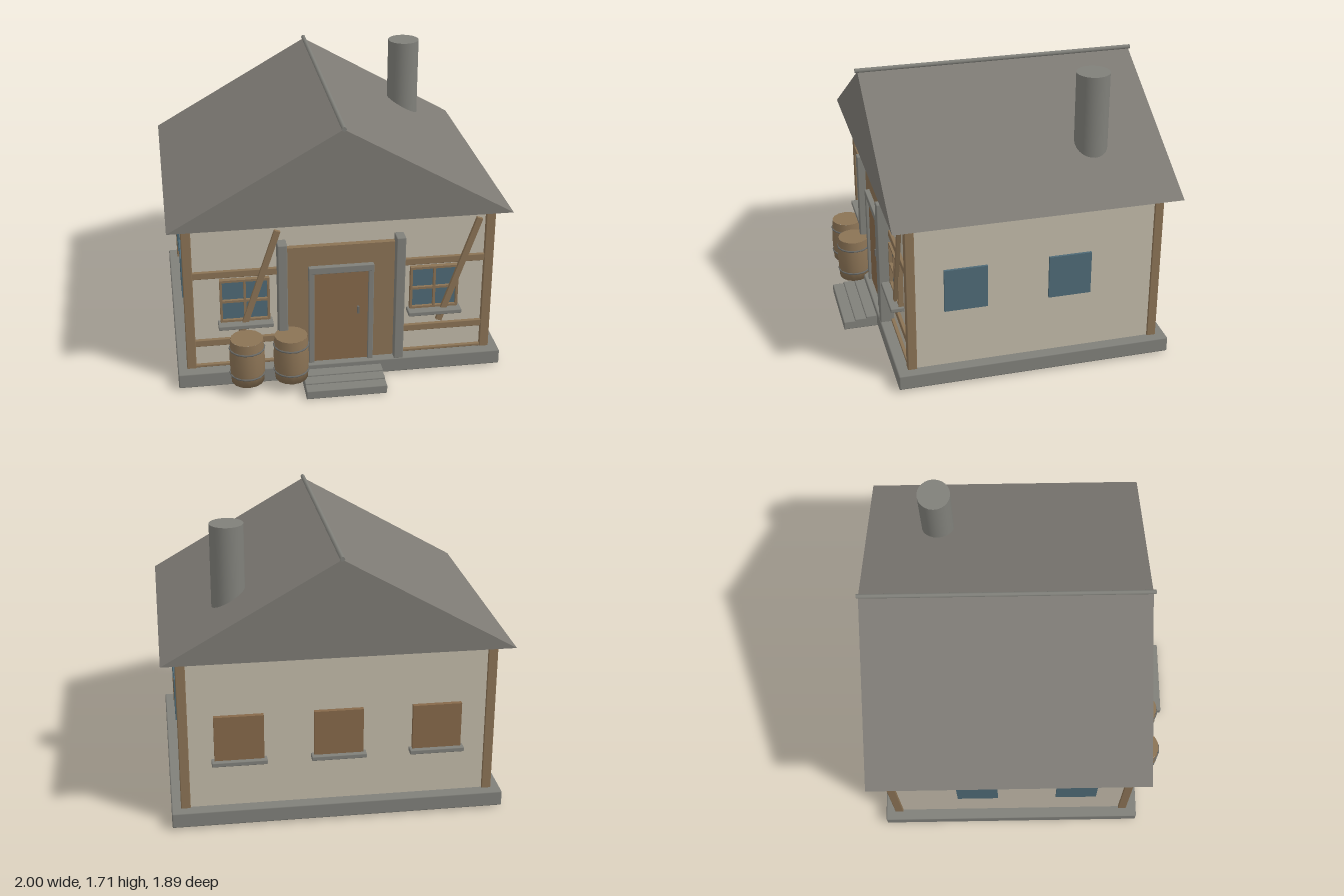
import * as THREE from 'three';
import { RoundedBoxGeometry } from 'three/addons/geometries/RoundedBoxGeometry.js';

const mat = (name, color) => {
  const m = new THREE.MeshStandardMaterial({ color });
  m.name = name;
  return m;
};

export function createModel() {
  const stone = mat('stone', 0x80807a);
  const roofGrey = mat('roof grey', 0x7d7a74);
  const plaster = mat('plaster', 0xc2baa9);
  const wood = mat('wood', 0x8b7355);
  const doorWood = mat('door wood', 0x86694a);
  const glass = mat('glass', 0x4f6a76);
  const iron = mat('iron', 0x6a6a66);

  const house = new THREE.Group();
  house.name = 'house';

  const add = (name, geometry, material, parent = house) => {
    const mesh = new THREE.Mesh(geometry, material);
    mesh.name = name;
    parent.add(mesh);
    return mesh;
  };
  // Box given by its limits, with an optional small bevel
  const box = (name, material, [x0, x1], [y0, y1], [z0, z1], bevel = 0, parent = house) => {
    const size = [x1 - x0, y1 - y0, z1 - z0];
    const g = bevel ? new RoundedBoxGeometry(...size, 1, bevel) : new THREE.BoxGeometry(...size);
    const mesh = add(name, g, material, parent);
    mesh.position.set((x0 + x1) / 2, (y0 + y1) / 2, (z0 + z1) / 2);
    return mesh;
  };
  const group = (name) => {
    const g = new THREE.Group();
    g.name = name;
    house.add(g);
    return g;
  };

  // Foundation, steps and walls
  box('foundation', stone, [-0.975, 0.975], [0.012, 0.105], [-0.907, 0.738], 0.008);
  for (let i = 0; i < 3; i++) {
    box('step', stone, [-0.24, 0.24], [0.008 * i, 0.055 + 0.01 * i], [0.72, 0.945 - 0.07 * i], 0.006);
  }
  box('walls', plaster, [-0.908, 0.908], [0.1, 1.05], [-0.835, 0.65]);

  // Corner posts
  for (const s of [-1, 1]) {
    for (const z of [-0.848, 0.62]) {
      const x = s * 0.892;
      box('cornerPost', wood, [x - 0.028, x + 0.028], [0.1, 1.045], [z, z + 0.054], 0.005);
    }
  }

  // Solid gable roof, ridge pole and chimney
  const gable = new THREE.Shape([
    new THREE.Vector2(-1, 1.04), new THREE.Vector2(1, 1.04), new THREE.Vector2(0, 1.612),
  ]);
  const roof = add('roof', new THREE.ExtrudeGeometry(gable, { depth: 1.69, bevelEnabled: false }), roofGrey);
  roof.position.z = -0.935;
  const ridge = add('ridgePole', new THREE.CylinderGeometry(0.014, 0.014, 1.715, 8), stone);
  ridge.rotation.x = Math.PI / 2;
  ridge.position.set(0, 1.618, -0.0875);
  const chimney = add('chimney', new THREE.CylinderGeometry(0.098, 0.098, 0.61, 24), stone);
  chimney.position.set(0.592, 1.405, -0.503);

  // Horizontal front timbers
  for (const [y0, y1] of [[0.105, 0.122], [0.247, 0.289], [0.695, 0.738], [1.018, 1.045]]) {
    box('frontBeam', wood, [-0.87, 0.87], [y0, y1], [0.64, 0.67], 0.004);
  }

  // Entrance: panel, stone pillars, door with frame and handle
  const entrance = group('entrance');
  box('entrancePanel', wood, [-0.32, 0.32], [0.105, 0.868], [0.64, 0.685], 0, entrance);
  for (const s of [-1, 1]) {
    const x = s * 0.347;
    box('pillar', stone, [x - 0.028, x + 0.028], [0.1, 0.912], [0.65, 0.735], 0.006, entrance);
    const f = s * 0.177;
    box('doorJamb', stone, [f - 0.016, f + 0.016], [0.1, 0.742], [0.67, 0.715], 0.004, entrance);
  }
  box('doorLintel', stone, [-0.193, 0.193], [0.7, 0.743], [0.67, 0.716], 0.004, entrance);
  box('door', doorWood, [-0.161, 0.161], [0.105, 0.7], [0.67, 0.697], 0, entrance);
  box('doorHandle', iron, [0.095, 0.108], [0.42, 0.465], [0.695, 0.712], 0, entrance);

  // Front windows: pane, frame, crossbars and sill
  for (const s of [-1, 1]) {
    const win = group('frontWindow');
    const c = s * 0.565;
    box('pane', glass, [c - 0.135, c + 0.135], [0.41, 0.675], [0.645, 0.66], 0, win);
    for (const x of [c - 0.139, c, c + 0.139]) {
      box('windowUpright', wood, [x - 0.007, x + 0.007], [0.4, 0.682], [0.65, 0.68], 0, win);
    }
    for (const y of [0.413, 0.542, 0.675]) {
      box('windowBar', wood, [c - 0.145, c + 0.145], [y - 0.007, y + 0.007], [0.65, 0.679], 0, win);
    }
    box('sill', stone, [c - 0.161, c + 0.161], [0.38, 0.407], [0.64, 0.73], 0.005, win);
  }

  // Shuttered back windows
  for (const c of [-0.575, 0, 0.575]) {
    const win = group('backWindow');
    box('shutter', doorWood, [c - 0.143, c + 0.143], [0.4, 0.68], [-0.862, -0.83], 0, win);
    box('sill', stone, [c - 0.16, c + 0.16], [0.38, 0.407], [-0.89, -0.83], 0.005, win);
  }

  // Side windows
  for (const s of [-1, 1]) {
    for (const z of [0.327, -0.292]) {
      const x = s * 0.911;
      box('sideWindow', glass, [x - 0.012, x + 0.012], [0.467, 0.732], [z - 0.127, z + 0.127]);
    }
  }

  // Slanting planks on the front
  for (const x of [-0.482, 0.708]) {
    const plank = add('slantedPlank', new THREE.BoxGeometry(0.036, 0.7, 0.022), wood);
    plank.position.set(x, 0.655, 0.684);
    plank.rotation.z = -Math.atan2(0.225, 0.665);
  }

  // Barrels with hoops
  const staves = [[0, 0], [0.097, 0], [0.102, 0.07], [0.105, 0.14], [0.102, 0.21], [0.097, 0.28]]
    .map(([r, y]) => new THREE.Vector2(r, y));
  for (const x of [-0.57, -0.31]) {
    const barrel = group('barrel');
    barrel.position.set(x, 0.073, 0.786);
    add('staves', new THREE.LatheGeometry(staves, 14), wood, barrel);
    const lid = add('lid', new THREE.CircleGeometry(0.097, 14), wood, barrel);
    lid.rotation.x = -Math.PI / 2;
    lid.position.y = 0.28;
    for (const y of [0.055, 0.22]) {
      const hoop = add('hoop', new THREE.TorusGeometry(0.102, 0.006, 6, 14), iron, barrel);
      hoop.rotation.x = Math.PI / 2;
      hoop.position.y = y;
    }
  }

  return house;
}
